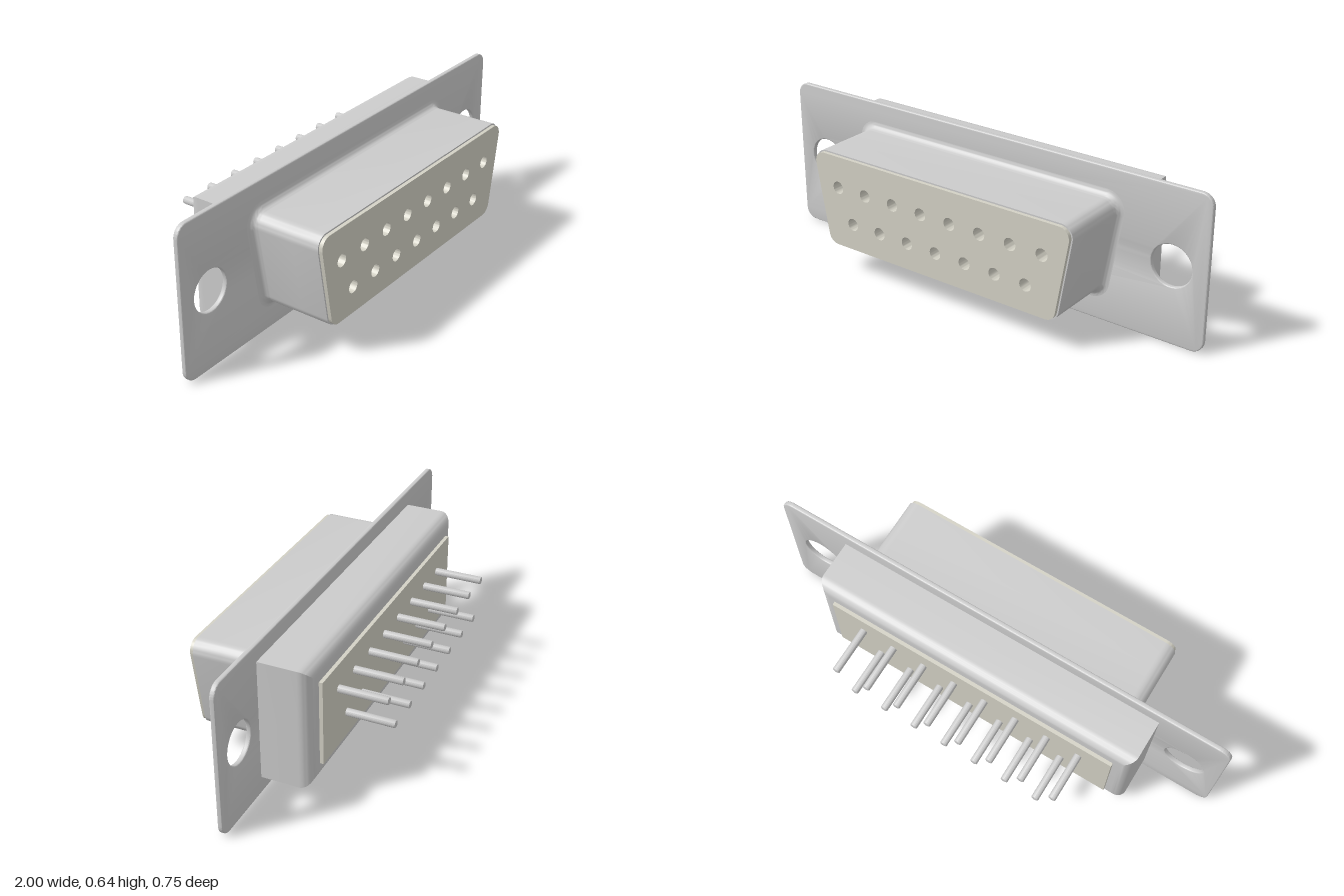
import * as THREE from 'three';
import { toCreasedNormals } from 'three/addons/utils/BufferGeometryUtils.js';

const metal = new THREE.MeshStandardMaterial({ color: 0xcccccc });
const plastic = new THREE.MeshStandardMaterial({ color: 0xd3d1c5 });

// Trapezoid with rounded corners, wider at the top; inset moves the outline inwards
function trapezoid(inset) {
  const top = 0.625, bottom = 0.555, y0 = 0.12, y1 = 0.522, r = 0.05;
  const lean = Math.atan((top - bottom) / (y1 - y0));
  const side = (y) => bottom + (top - bottom) * (y - y0) / (y1 - y0) - r / Math.cos(lean);
  const corners = [
    [side(y0 + r), y0 + r, -Math.PI / 2, -lean],
    [side(y1 - r), y1 - r, -lean, Math.PI / 2],
    [-side(y1 - r), y1 - r, Math.PI / 2, Math.PI + lean],
    [-side(y0 + r), y0 + r, Math.PI + lean, Math.PI * 1.5],
  ];
  const points = [];
  for (const [x, y, from, to] of corners) {
    for (let i = 0; i <= 10; i++) {
      const a = from + (to - from) * i / 10;
      points.push(new THREE.Vector2(x + (r - inset) * Math.cos(a), y + (r - inset) * Math.sin(a)));
    }
  }
  return points;
}

// Plain rectangle for the rear housing
function rectangle(inset) {
  const x = 0.705 - inset, y0 = 0.07 + inset, y1 = 0.572 - inset;
  return [[-x, y0], [x, y0], [x, y1], [-x, y1]].map((p) => new THREE.Vector2(...p));
}

// Closed solid through [z, inset] sections, ordered from back to front
function loft(outline, sections) {
  const rings = sections.map(([z, inset]) => outline(inset).map((p) => [p.x, p.y, z]));
  const n = rings[0].length, pos = [];
  const tri = (...v) => v.forEach((p) => pos.push(...p));
  for (let k = 0; k < rings.length - 1; k++) {
    for (let i = 0; i < n; i++) {
      const j = (i + 1) % n, a = rings[k], b = rings[k + 1];
      tri(a[i], a[j], b[j]);
      tri(a[i], b[j], b[i]);
    }
  }
  const first = rings[0], last = rings[rings.length - 1];
  for (let i = 1; i < n - 1; i++) {
    tri(first[0], first[i + 1], first[i]);
    tri(last[0], last[i], last[i + 1]);
  }
  const geometry = new THREE.BufferGeometry();
  geometry.setAttribute('position', new THREE.Float32BufferAttribute(pos, 3));
  return toCreasedNormals(geometry, 0.5);
}

function circle(x, y, r) {
  return new THREE.Path().absarc(x, y, r, 0, Math.PI * 2, true);
}

function roundedPlate(w, y0, y1, r) {
  const s = new THREE.Shape();
  s.absarc(w - r, y0 + r, r, -Math.PI / 2, 0);
  s.absarc(w - r, y1 - r, r, 0, Math.PI / 2);
  s.absarc(-w + r, y1 - r, r, Math.PI / 2, Math.PI);
  s.absarc(-w + r, y0 + r, r, Math.PI, Math.PI * 1.5);
  s.closePath();
  return s;
}

// Two staggered rows: eight contacts above, seven below
function contacts(upperY, lowerY) {
  const list = [];
  for (let i = 0; i < 15; i++) list.push([(i - 7) * 0.0706, i % 2 ? lowerY : upperY]);
  return list;
}

export function createModel() {
  const model = new THREE.Group();
  const add = (name, geometry, material = metal, parent = model) => {
    const mesh = new THREE.Mesh(geometry, material);
    mesh.name = name;
    parent.add(mesh);
    return mesh;
  };

  // Mounting flange with a screw hole at each end
  const plate = roundedPlate(1, 0, 0.638, 0.05);
  for (const s of [-1, 1]) plate.holes.push(circle(s * 0.85, 0.32, 0.085));
  const flange = new THREE.ExtrudeGeometry(plate, {
    depth: 0.012, bevelThickness: 0.004, bevelSize: 0.004, bevelOffset: -0.004,
    bevelSegments: 3, curveSegments: 24,
  });
  flange.translate(0, 0, 0.049);
  add('mountingFlange', toCreasedNormals(flange, 0.6));

  // Front shell: flared fillet at the flange, straight walls, open rim
  const flare = [];
  for (let i = 0; i <= 8; i++) {
    const t = i / 8 * Math.PI / 2;
    flare.push([0.095 - 0.03 * Math.cos(t), -0.03 * (1 - Math.sin(t))]);
  }
  add('frontShell', loft(trapezoid, [...flare, [0.245, 0]]));
  const rim = new THREE.Shape(trapezoid(0));
  rim.holes.push(new THREE.Path(trapezoid(0.006)));
  const rimGeometry = new THREE.ExtrudeGeometry(rim, { depth: 0.115, bevelEnabled: false });
  rimGeometry.translate(0, 0, 0.245);
  add('frontShellRim', toCreasedNormals(rimGeometry, 0.5));

  // Insulator face with blind socket holes
  const face = new THREE.Shape(trapezoid(0.006));
  for (const [x, y] of contacts(0.382, 0.238)) face.holes.push(circle(x, y, 0.026));
  const insert = new THREE.ExtrudeGeometry(face, { depth: 0.13, bevelEnabled: false, curveSegments: 16 });
  insert.translate(0, 0, 0.245);
  add('socketInsert', toCreasedNormals(insert, 0.5), plastic);

  // Rear housing with rounded back edges
  const back = [];
  for (let i = 0; i <= 10; i++) {
    const t = i / 10 * Math.PI / 2;
    back.push([-0.11 - 0.05 * Math.cos(t), 0.05 * (1 - Math.sin(t))]);
  }
  add('rearHousing', loft(rectangle, [...back, [0.05, 0]]));

  // Raised panel that carries the pins
  const panel = new THREE.BoxGeometry(1.26, 0.352, 0.03);
  add('rearPanel', panel, plastic).position.set(0, 0.321, -0.16);

  // Solder pins with softly rounded tips
  const pins = new THREE.Group();
  pins.name = 'pins';
  model.add(pins);
  const profile = [[0.0155, 0], [0.0155, 0.2], [0.0145, 0.2035], [0.011, 0.205], [0, 0.205]];
  const pin = new THREE.LatheGeometry(profile.map((p) => new THREE.Vector2(...p)), 20);
  pin.rotateX(-Math.PI / 2);
  const pinGeometry = toCreasedNormals(pin, 0.6);
  for (const [x, y] of contacts(0.394, 0.248)) add('pin', pinGeometry, metal, pins).position.set(x, y, -0.17);

  return model;
}
